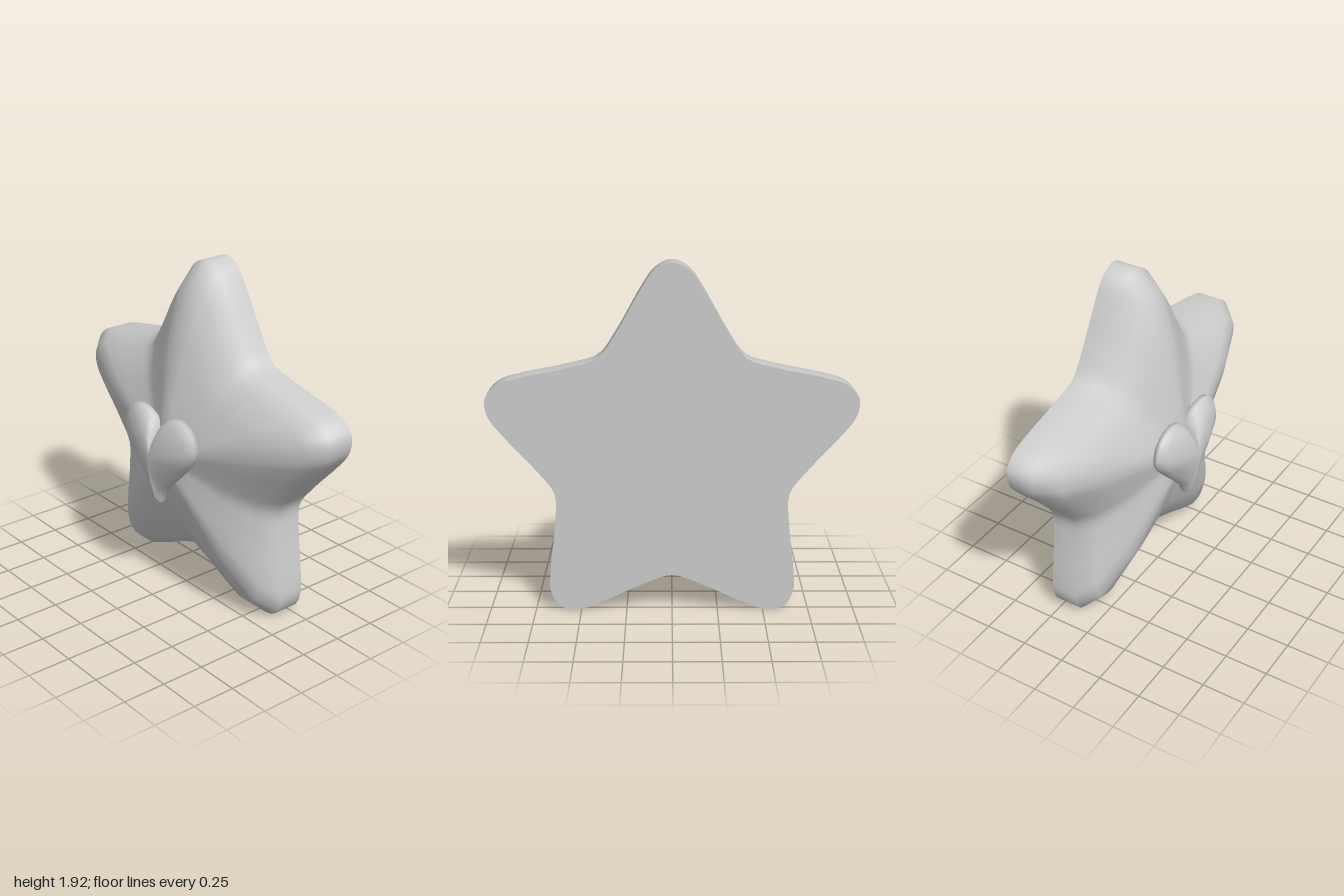
import * as THREE from 'three';
import { mergeVertices } from 'three/addons/utils/BufferGeometryUtils.js';

const CENTRE_Y = 0.87;

// Smooth curve through [x, y] points
function curvePoints(points, closed, steps) {
  const curve = new THREE.CatmullRomCurve3(
    points.map(([x, y]) => new THREE.Vector3(x, y, 0)), closed, 'centripetal');
  return curve.getPoints(steps);
}

// Stack scaled copies of an outline (counter-clockwise) from back to front; rings are [scale, z]
function loft(outline, rings, cy) {
  const pos = [], index = [], n = outline.length;
  for (const [s, z] of rings) {
    for (const p of outline) pos.push(p.x * s, cy + (p.y - cy) * s, z);
  }
  for (let r = 0; r < rings.length - 1; r++) {
    for (let i = 0; i < n - 1; i++) {
      const a = r * n + i, b = a + 1, c = b + n, d = a + n;
      if (rings[r][0] > 0) index.push(a, b, d);
      if (rings[r + 1][0] > 0) index.push(b, c, d);
      else if (rings[r][0] > 0) index.splice(-3, 3, a, b, c);
    }
  }
  let geo = new THREE.BufferGeometry();
  geo.setAttribute('position', new THREE.Float32BufferAttribute(pos, 3));
  geo.setIndex(index);
  geo = mergeVertices(geo, 1e-5);
  geo.computeVertexNormals();
  return geo;
}

export function createModel() {
  const group = new THREE.Group();
  const grey = new THREE.MeshStandardMaterial({ color: 0xcccccc });
  grey.name = 'light grey';
  const add = (name, geo) => {
    const mesh = new THREE.Mesh(geo, grey);
    mesh.name = name;
    group.add(mesh);
  };

  // One rounded arm, repeated five times around the centre
  const arm = [[0.394, 0.542], [0.3, 0.67], [0.16, 0.915], [0.09, 1.01], [0, 1.05],
    [-0.09, 1.01], [-0.16, 0.915], [-0.3, 0.67]];
  const star = [];
  for (let k = 0; k < 5; k++) {
    const t = k * Math.PI * 2 / 5, c = Math.cos(t), s = Math.sin(t);
    for (const [x, y] of arm) star.push([x * c - y * s, CENTRE_Y + x * s + y * c]);
  }
  const starOutline = curvePoints(star, true, 160);

  // Domed star body with straight sides
  add('starBody', loft(starOutline,
    [[1, -0.28], [1, -0.13], [0.895, -0.025], [0.63, 0.07], [0.3, 0.138], [0, 0.2]], CENTRE_Y));

  // Flat back
  add('starBack', loft(starOutline, [[0, -0.28], [1, -0.28]], CENTRE_Y));

  // Puffed heart in two mirrored halves, leaving a crease down the middle
  const half = [[0, 0.57], [0.03, 0.635], [0.1, 0.715], [0.225, 0.845], [0.285, 0.92],
    [0.305, 0.985], [0.28, 1.06], [0.215, 1.11], [0.145, 1.12], [0.065, 1.09],
    [0.02, 1.025], [0, 0.92]];
  const heartRings = [[0, 0.13], [0.8, 0.13], [1, 0.16], [1, 0.187],
    [0.86, 0.224], [0.5, 0.256], [0, 0.278]];
  const mirrored = half.map(([x, y]) => [-x, y]).reverse();
  add('heartLeft', loft(curvePoints(half, false, 33), heartRings, 0.87));
  add('heartRight', loft(curvePoints(mirrored, false, 33), heartRings, 0.87));

  return group;
}
